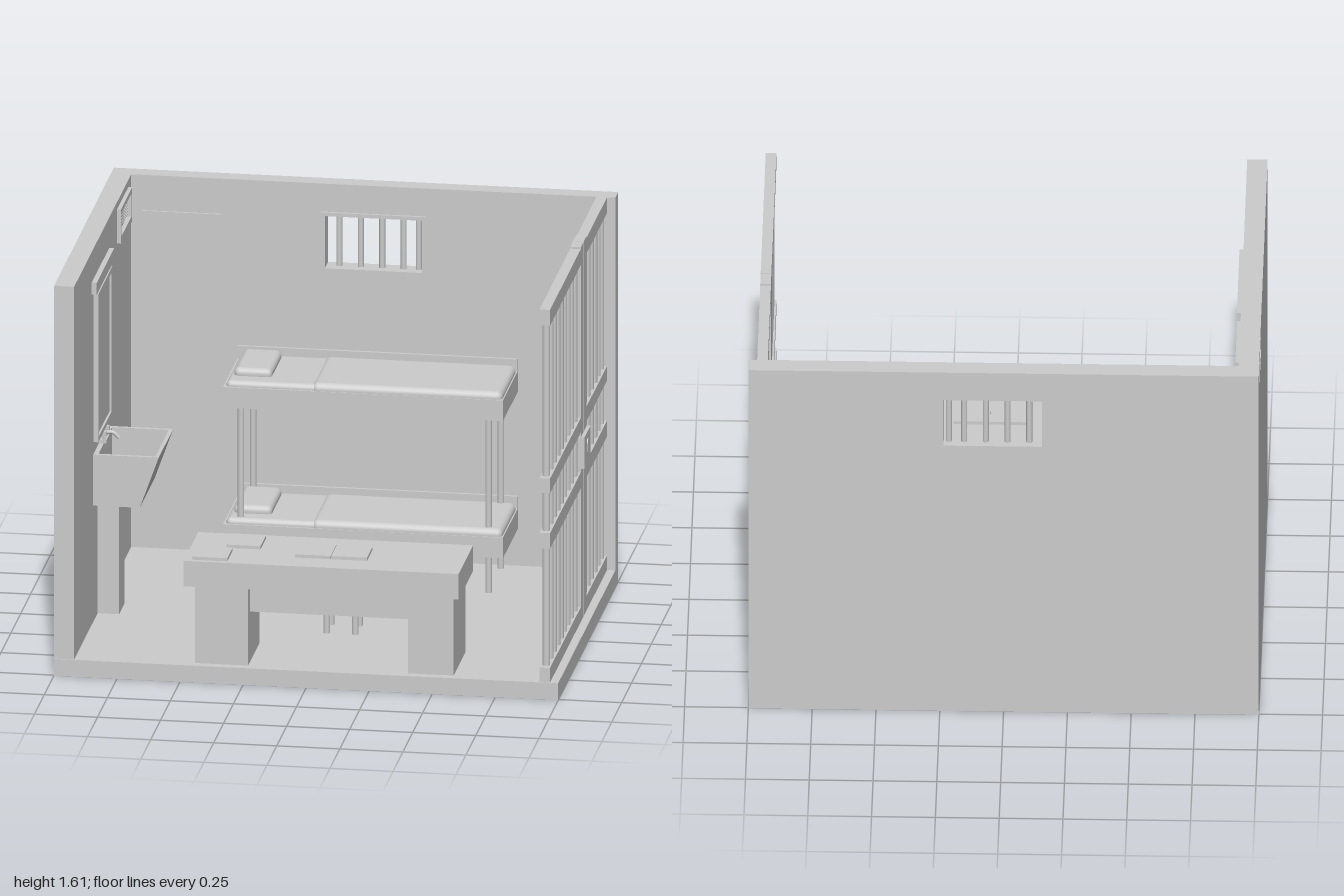
import * as THREE from 'three';
import { RoundedBoxGeometry } from 'three/addons/geometries/RoundedBoxGeometry.js';

const grey = new THREE.MeshStandardMaterial({ color: 0xcccccc });
const flat = new THREE.MeshStandardMaterial({ color: 0xcccccc, flatShading: true });

function add(parent, name, geometry, material = grey) {
  const mesh = new THREE.Mesh(geometry, material);
  mesh.name = name;
  parent.add(mesh);
  return mesh;
}

function group(parent, name) {
  const g = new THREE.Group();
  g.name = name;
  parent.add(g);
  return g;
}

// Box given by its limits on each axis
function box(parent, name, x0, x1, y0, y1, z0, z1) {
  const geo = new THREE.BoxGeometry(x1 - x0, y1 - y0, z1 - z0);
  geo.translate((x0 + x1) / 2, (y0 + y1) / 2, (z0 + z1) / 2);
  return add(parent, name, geo);
}

function softBox(parent, name, x0, x1, y0, y1, z0, z1, radius) {
  const geo = new RoundedBoxGeometry(x1 - x0, y1 - y0, z1 - z0, 4, radius);
  geo.translate((x0 + x1) / 2, (y0 + y1) / 2, (z0 + z1) / 2);
  return add(parent, name, geo);
}

// Upright cylinder from y0 to y1
function rod(parent, name, x, z, y0, y1, r, sides = 12) {
  const geo = new THREE.CylinderGeometry(r, r, y1 - y0, sides);
  geo.translate(x, (y0 + y1) / 2, z);
  return add(parent, name, geo);
}

// Rectangular slab with a rectangular hole; limits are [u0, u1, y0, y1]
function slab(parent, name, outer, hole, depth) {
  const corners = ([a, b, c, d]) =>
    [[a, c], [b, c], [b, d], [a, d]].map(([u, v]) => new THREE.Vector2(u, v));
  const shape = new THREE.Shape(corners(outer));
  shape.holes.push(new THREE.Path(corners(hole).reverse()));
  return add(parent, name, new THREE.ExtrudeGeometry(shape, { depth, bevelEnabled: false }));
}

// Slab facing along x: u becomes z, x1 is its inner face
function sideSlab(parent, name, outer, hole, depth, x1) {
  const mesh = slab(parent, name, outer, hole, depth);
  mesh.rotation.y = -Math.PI / 2;
  mesh.position.x = x1;
  return mesh;
}

// Closed skin over rectangular rings [x0, x1, z0, z1, y]
function ringSkin(rings) {
  const pts = [], index = [];
  rings.forEach(([a, b, c, d, y]) => pts.push(a, y, c, a, y, d, b, y, d, b, y, c));
  for (let r = 0; r < rings.length - 1; r++)
    for (let i = 0; i < 4; i++) {
      const a = r * 4 + i, b = r * 4 + (i + 1) % 4;
      index.push(a, b, b + 4, a, b + 4, a + 4);
    }
  const e = (rings.length - 1) * 4;
  index.push(0, 2, 1, 0, 3, 2, e, e + 1, e + 2, e, e + 2, e + 3);
  const geo = new THREE.BufferGeometry();
  geo.setAttribute('position', new THREE.Float32BufferAttribute(pts, 3));
  geo.setIndex(index);
  const out = geo.toNonIndexed();
  out.computeVertexNormals();
  return out;
}

function buildRoom(root) {
  box(root, 'floor', -1, 1, 0, 0.07, -0.755, 0.76);
  const win = [-0.15, 0.235, 1.26, 1.475];
  slab(root, 'backWall', [-1, 1, 0.02, 1.605], win, 0.073).position.z = -0.762;
  const ventHole = [-0.60, -0.35, 1.46, 1.555];
  sideSlab(root, 'leftWall', [-0.69, 0.755, 0.02, 1.605], ventHole, 0.08, -0.92);

  // Barred window
  const w = group(root, 'window');
  slab(w, 'windowFrame', [-0.165, 0.25, 1.245, 1.49], win, 0.012).position.z = -0.69;
  for (const x of [-0.1, -0.015, 0.07, 0.155, 0.215])
    rod(w, 'windowBar', x, -0.725, 1.26, 1.475, 0.012);

  // Vent with grille
  const v = group(root, 'vent');
  sideSlab(v, 'ventFrame', [-0.62, -0.33, 1.435, 1.575], ventHole, 0.02, -0.905);
  for (let i = 1; i < 18; i++) {
    const z = -0.60 + i * 0.25 / 18;
    box(v, 'ventWire', -0.926, -0.922, 1.46, 1.555, z - 0.002, z + 0.002);
  }
  for (let i = 1; i < 8; i++) {
    const y = 1.46 + i * 0.095 / 8;
    box(v, 'ventSlat', -0.93, -0.92, y - 0.002, y + 0.002, -0.60, -0.35);
  }

  box(root, 'poster', -0.875, -0.555, 0.9, 1.46, -0.69, -0.68);
}

function buildWashStand(root) {
  const m = group(root, 'mirror');
  sideSlab(m, 'mirrorFrame', [-0.09, 0.27, 0.81, 1.42], [-0.07, 0.25, 0.83, 1.4], 0.02, -0.9);
  box(m, 'mirrorGlass', -0.92, -0.908, 0.83, 1.4, -0.07, 0.25);
  box(m, 'mirrorLamp', -0.92, -0.9, 1.43, 1.48, -0.135, 0.31);

  const s = group(root, 'sink');
  add(s, 'basin', ringSkin([
    [-0.92, -0.735, -0.095, 0.275, 0.55],
    [-0.92, -0.66, -0.095, 0.275, 0.76],
    [-0.90, -0.675, -0.08, 0.26, 0.76],
    [-0.90, -0.735, -0.08, 0.26, 0.59],
  ]), flat);
  box(s, 'pedestal', -0.92, -0.835, 0.07, 0.55, 0.02, 0.16);

  // Tap with two handles
  const spout = new THREE.CatmullRomCurve3([[-0.91, 0.765], [-0.9, 0.79], [-0.87, 0.795], [-0.847, 0.775]]
    .map(([x, y]) => new THREE.Vector3(x, y, 0.09)));
  add(s, 'spout', new THREE.TubeGeometry(spout, 12, 0.008, 8));
  box(s, 'tapBase', -0.92, -0.89, 0.76, 0.775, 0.05, 0.13);
  for (const z of [0.055, 0.125]) {
    rod(s, 'tapStem', -0.9, z, 0.76, 0.8, 0.006);
    rod(s, 'tapHandle', -0.9, z, 0.79, 0.81, 0.012);
  }
}

function buildBunk(root) {
  const g = group(root, 'bunkBed');
  for (const y of [0.225, 0.79]) {
    const b = group(g, 'bunk');
    b.position.y = y;
    box(b, 'bedFrame', -0.495, 0.615, 0, 0.085, -0.685, -0.3);
    box(b, 'backRail', -0.495, 0.615, 0.085, 0.135, -0.685, -0.672);
    softBox(b, 'mattress', -0.485, 0.605, 0.04, 0.108, -0.67, -0.308, 0.02);
    softBox(b, 'blanket', -0.145, 0.61, 0.045, 0.115, -0.671, -0.303, 0.025);
    softBox(b, 'pillow', -0.465, -0.315, 0.09, 0.138, -0.65, -0.38, 0.022);
  }
  for (const x of [-0.43, 0.552])
    for (const z of [-0.34, -0.65]) rod(g, 'bunkPost', x, z, 0.07, 0.82, 0.013);
}

function buildTable(root) {
  const t = group(root, 'table');
  box(t, 'tableTop', -0.485, 0.605, 0.395, 0.5, 0.39, 0.76);
  box(t, 'tableLeg', -0.445, -0.235, 0.07, 0.395, 0.43, 0.725);
  box(t, 'tableLeg', 0.4, 0.58, 0.07, 0.395, 0.43, 0.725);
  box(t, 'tableApron', -0.235, 0.4, 0.275, 0.395, 0.48, 0.67);

  const p = group(root, 'papers');
  box(p, 'book', -0.345, -0.21, 0.5, 0.513, 0.425, 0.57);
  box(p, 'book', -0.455, -0.315, 0.5, 0.513, 0.605, 0.74);
  box(p, 'openBookPage', -0.06, 0.081, 0.5, 0.513, 0.51, 0.65);
  box(p, 'openBookPage', 0.083, 0.225, 0.5, 0.513, 0.51, 0.65);

  const s = group(root, 'stool');
  rod(s, 'stoolSeat', 0.06, 0.21, 0.32, 0.37, 0.113, 40);
  for (const x of [0.005, 0.118])
    for (const z of [0.155, 0.265]) rod(s, 'stoolLeg', x, z, 0.07, 0.32, 0.013);
}

function buildBars(root) {
  const g = group(root, 'barredFront');
  // Each section: rail ends and evenly spaced bars
  const sections = [
    { z0: -0.03, z1: 0.755, first: 0.715, count: 9 },
    { z0: -0.69, z1: -0.165, first: -0.22, count: 6 },
  ];
  for (const { z0, z1, first, count } of sections) {
    const s = group(g, 'barSection');
    for (const [y0, y1] of [[0.07, 0.13], [0.62, 0.685], [0.85, 0.91], [1.54, 1.605]])
      box(s, 'rail', 0.925, 0.967, y0, y1, z0, z1);
    for (let i = 0; i < count; i++) rod(s, 'bar', 0.946, first - i * 0.0865, 0.1, 1.57, 0.015);
  }
  box(g, 'doorPost', 0.925, 0.967, 0.07, 1.613, -0.096, -0.025);
  box(g, 'doorPost', 0.925, 0.967, 0.07, 1.613, -0.17, -0.1);

  // Lock box with a keyhole plate on both faces
  const lock = group(g, 'lock');
  box(lock, 'lockBox', 0.91, 0.982, 0.7, 0.83, -0.175, -0.022);
  const hole = new THREE.Shape();
  hole.moveTo(-0.01, -0.025);
  hole.lineTo(0.01, -0.025);
  hole.lineTo(0.018, 0.008);
  hole.absarc(0, 0.01, 0.018, 0, Math.PI, false);
  hole.closePath();
  const plate = new THREE.ExtrudeGeometry(hole, { depth: 0.08, bevelEnabled: false });
  const k = add(lock, 'keyhole', plate);
  k.rotation.y = Math.PI / 2;
  k.position.set(0.906, 0.775, -0.098);
}

export function createModel() {
  const root = new THREE.Group();
  root.name = 'cell';
  for (const build of [buildRoom, buildWashStand, buildBunk, buildTable, buildBars]) build(root);
  return root;
}
